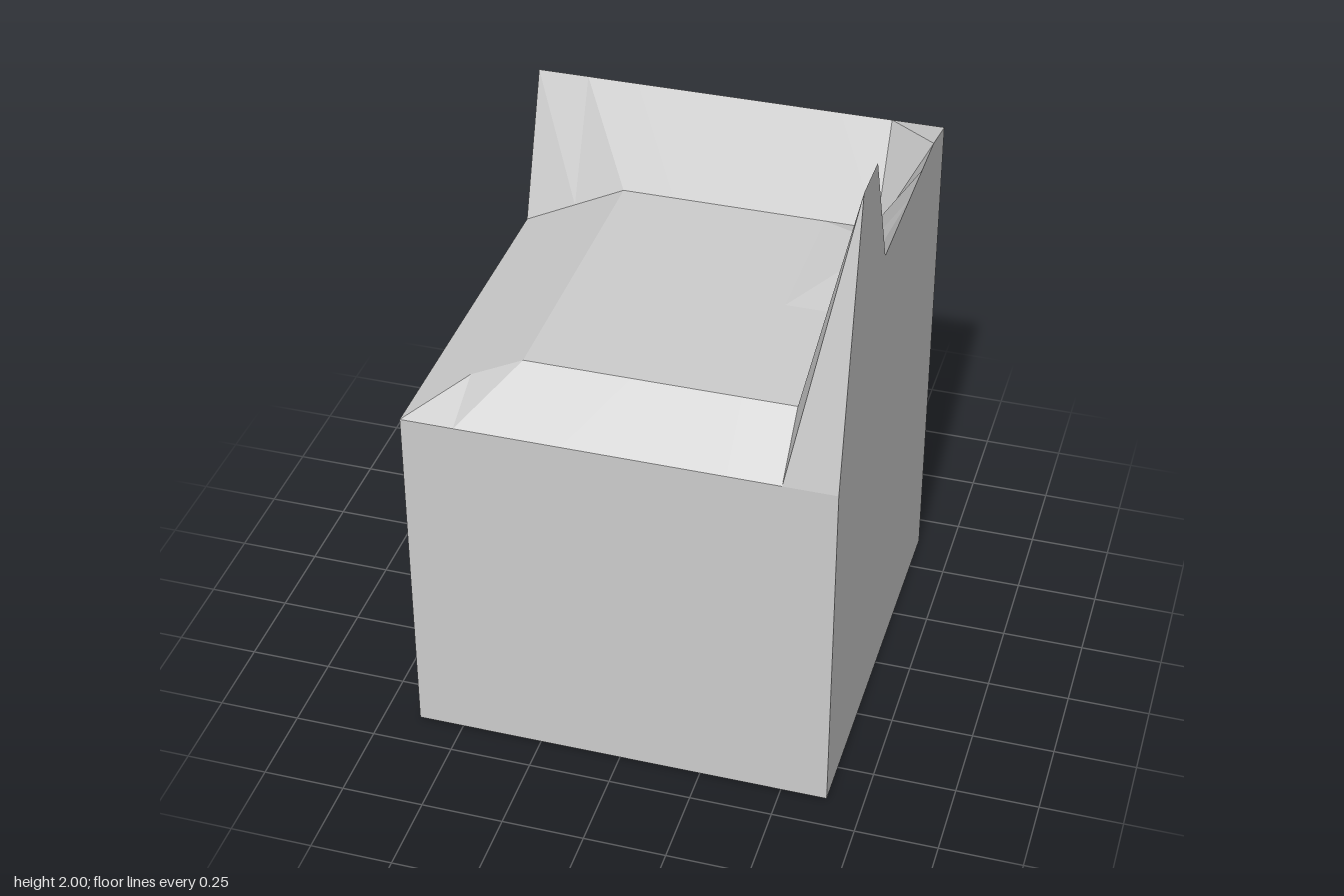
import * as THREE from 'three';

const N = 8, STEP = 0.16, HALF = 0.64;
const LOW = 1.125, PLATEAU = 1.285, BACK = 1.575;
// heights along the +x rim, from back to front
const RIM = [BACK, 1.61, 1.61, 1.61, 1.61, 1.61, 2, 2, LOW];

// Surface point of the grid at column i (along x) and row j (along z)
function point(i, j) {
  const x = -HALF + i * STEP, z = -HALF + j * STEP;
  // two bulging points at the foot of the rim
  if (i === 7 && (j === 2 || j === 3)) return [x - 0.02, 1.31, z - 0.07];
  let y = Math.min(PLATEAU, LOW + 0.5 * (x + HALF));
  if (i === N) y = RIM[j];
  if (j === 0) y = BACK;
  if (j === N) y = LOW;
  return [x, y, z];
}

const floor = ([x, , z]) => [x, 0, z];

function meshFromTriangles(name, triangles, material) {
  const geometry = new THREE.BufferGeometry();
  geometry.setAttribute('position', new THREE.Float32BufferAttribute(triangles.flat(2), 3));
  geometry.computeVertexNormals();
  const mesh = new THREE.Mesh(geometry, material);
  mesh.name = name;
  return mesh;
}

export function createModel() {
  const group = new THREE.Group();
  group.name = 'terrainBlock';
  const stone = new THREE.MeshStandardMaterial({ color: 0xcccccc });
  stone.name = 'light grey';

  // Faceted top surface
  const top = [];
  for (let j = 0; j < N; j++) {
    for (let i = 0; i < N; i++) {
      const a = point(i, j), b = point(i, j + 1), c = point(i + 1, j + 1), d = point(i + 1, j);
      if (j < 2) top.push([a, b, c], [a, c, d]);
      else top.push([a, b, d], [b, c, d]);
    }
  }
  group.add(meshFromTriangles('terrainTop', top, stone));

  // Four upright sides, each running counter-clockwise seen from above
  const sides = {
    frontWall: (k) => point(k, N),
    leftWall: (k) => point(N, N - k),
    backWall: (k) => point(N - k, 0),
    rightWall: (k) => point(0, k),
  };
  for (const [name, at] of Object.entries(sides)) {
    const wall = [];
    for (let k = 0; k < N; k++) {
      const p = at(k), q = at(k + 1);
      wall.push([floor(p), floor(q), q], [floor(p), q, p]);
    }
    group.add(meshFromTriangles(name, wall, stone));
  }

  // Underside
  const [a, b, c, d] = [point(0, 0), point(N, 0), point(N, N), point(0, N)].map(floor);
  group.add(meshFromTriangles('base', [[a, b, c], [a, c, d]], stone));

  return group;
}
